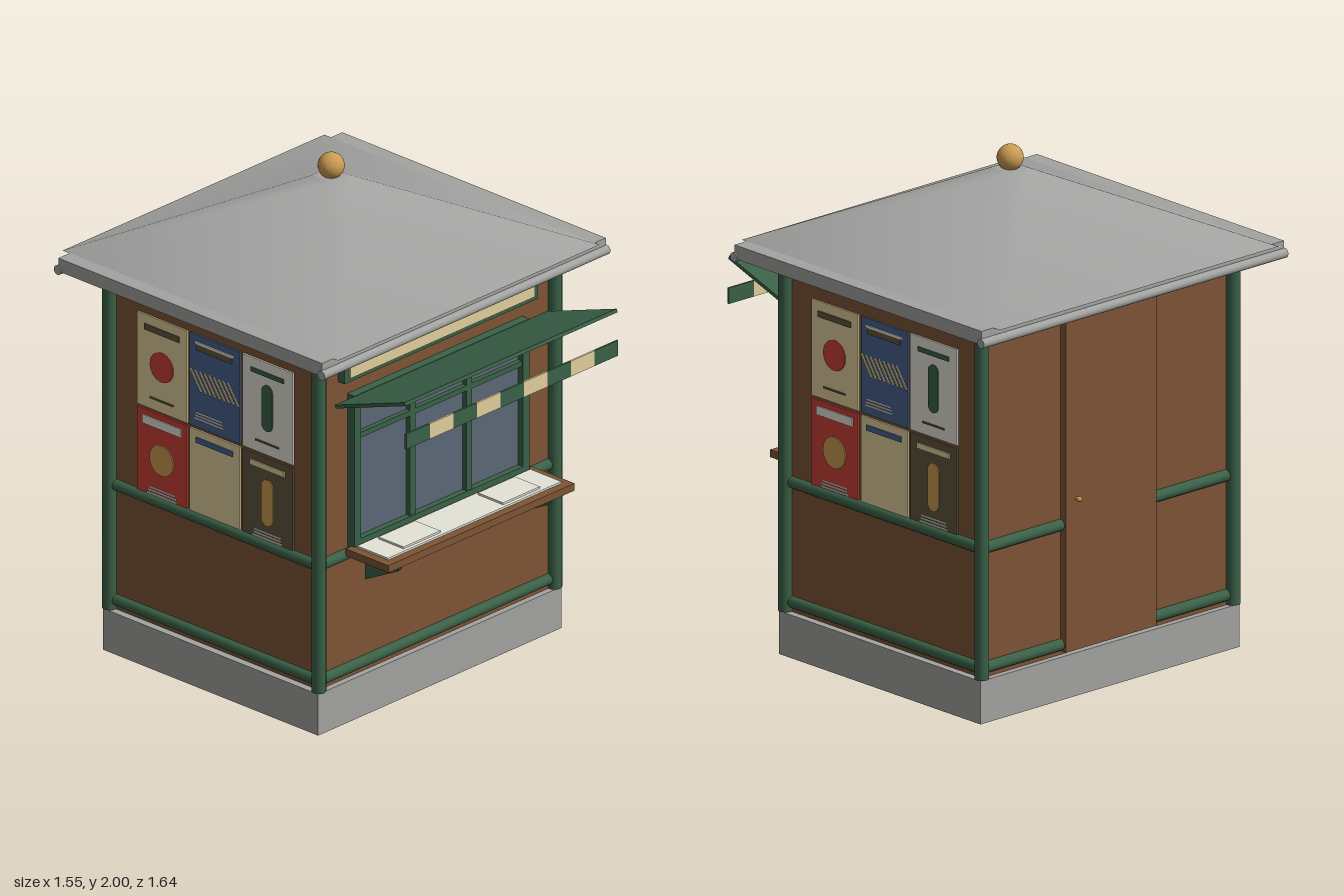
import * as THREE from 'three';

const ZC = -0.105; // centre of the hut in depth

function mat(name, color) {
  const m = new THREE.MeshStandardMaterial({ color });
  m.name = name;
  return m;
}

export function createModel() {
  const green = mat('paintedGreen', 0x3a6147);
  const brown = mat('woodBrown', 0x7e5435);
  const grey = mat('grey', 0xa3a4a2);
  const glass = mat('glass', 0x5c6977);
  const cream = mat('cream', 0xe3d09c);
  const white = mat('paperWhite', 0xe4e3d8);
  const red = mat('red', 0xcc4035);
  const blue = mat('blue', 0x46608e);
  const dark = mat('darkBrown', 0x60543e);
  const brass = mat('brass', 0xcb9c52);

  const root = new THREE.Group();
  root.name = 'kiosk';

  function add(parent, name, geo, material, x, y, z) {
    const m = new THREE.Mesh(geo, material);
    m.name = name;
    m.position.set(x, y, z);
    parent.add(m);
    return m;
  }
  const box = (parent, name, material, w, h, d, x, y, z) =>
    add(parent, name, new THREE.BoxGeometry(w, h, d), material, x, y, z);
  function rod(name, material, r, len, axis, x, y, z) {
    const g = new THREE.CylinderGeometry(r, r, len, 16);
    if (axis === 'x') g.rotateZ(Math.PI / 2);
    if (axis === 'z') g.rotateX(Math.PI / 2);
    return add(root, name, g, material, x, y, z);
  }

  // Plinth and walls
  box(root, 'plinth', grey, 1.32, 0.17, 1.11, 0, 0.085, ZC);
  box(root, 'walls', brown, 1.26, 1.39, 1.06, 0, 0.865, ZC);

  // Corner posts and horizontal rails
  for (const sx of [-1, 1]) for (const sz of [-1, 1]) {
    rod('cornerPost', green, 0.028, 1.385, 'y', sx * 0.64, 0.865, ZC + sz * 0.54);
  }
  for (const y of [0.21, 0.683, 1.53]) for (const s of [-1, 1]) {
    rod('rail', green, 0.023, 1.26, 'x', 0, y, ZC + s * 0.53);
    rod('rail', green, 0.023, 1.07, 'z', s * 0.63, y, ZC);
  }

  // Roof: eaves slab, gutters, four-sided hip and ball finial
  box(root, 'eaves', grey, 1.54, 0.055, 1.36, 0, 1.583, ZC);
  for (const s of [-1, 1]) {
    rod('gutter', grey, 0.019, 1.55, 'x', 0, 1.562, ZC + s * 0.68);
  }
  const q = Math.SQRT2;
  add(root, 'hipRoof', new THREE.CylinderGeometry(0.05 * q, 0.71 * q, 0.3, 4, 1, false, Math.PI / 4),
    grey, 0, 1.76, -0.11);
  add(root, 'finial', new THREE.SphereGeometry(0.051, 24, 16), brass, 0, 1.95, -0.11);

  // Sign board above the window
  box(root, 'signFrame', green, 1.05, 0.15, 0.035, 0, 1.48, 0.44);
  box(root, 'signPanel', cream, 1.0, 0.12, 0.008, 0, 1.483, 0.461);

  // Shop window
  box(root, 'windowGlass', glass, 0.92, 0.6, 0.008, 0, 1.025, 0.432);
  for (const s of [-1, 1]) {
    box(root, 'windowJamb', green, 0.035, 0.63, 0.036, s * 0.457, 1.025, 0.443);
    box(root, 'windowMullion', green, 0.03, 0.6, 0.028, s * 0.153, 1.025, 0.443);
  }
  for (const [y, h] of [[0.73, 0.025], [1.325, 0.03]]) {
    box(root, 'windowRail', green, 0.94, h, 0.036, 0, y, 0.443);
  }
  box(root, 'windowTransom', green, 0.9, 0.022, 0.026, 0, 1.165, 0.443);

  // Counter with papers and brackets
  box(root, 'counter', brown, 1.01, 0.03, 0.22, 0, 0.702, 0.555);
  box(root, 'counterPapers', white, 0.94, 0.008, 0.16, 0, 0.721, 0.55);
  for (const x of [-0.27, 0.27]) box(root, 'paperStack', white, 0.2, 0.008, 0.13, x, 0.729, 0.55);
  const bracketShape = new THREE.Shape([
    [-0.46, 0.565], [-0.46, 0.63], [-0.55, 0.688], [-0.645, 0.688], [-0.625, 0.65],
  ].map(([a, b]) => new THREE.Vector2(a, b)));
  for (const s of [-1, 1]) {
    const g = new THREE.ExtrudeGeometry(bracketShape, { depth: 0.02, bevelEnabled: false });
    g.translate(0, 0, -0.01).rotateY(Math.PI / 2);
    add(root, 'counterBracket', g, green, s * 0.405, 0, 0);
  }

  // Raised awning and its scalloped front strip
  const awning = box(root, 'awning', green, 1.15, 0.014, 0.381, 0, 1.392, 0.638);
  awning.rotation.x = -Math.atan2(0.125, 0.36);
  const flap = 1.15 / 9;
  for (let i = 0; i < 9; i++) {
    box(root, 'valanceFlap', i % 2 ? cream : green, flap, 0.063, 0.008, (i - 4) * flap, 1.302, 0.82);
  }

  // Back door with knob
  box(root, 'door', brown, 0.46, 1.31, 0.05, 0, 0.84, -0.642);
  rod('doorKnobStem', brass, 0.006, 0.03, 'z', 0.18, 0.785, -0.675);
  add(root, 'doorKnob', new THREE.SphereGeometry(0.011, 12, 8), brass, 0.18, 0.785, -0.685);

  // Posters on one side wall, in local x (along wall) and y
  function posterWall() {
    const g = new THREE.Group();
    g.name = 'posterWall';
    const strip = (m, w, h, x, y) => box(g, 'posterStrip', m, w, h, 0.004, x, y, 0.009);
    const disc = (m, r, x, y) => {
      const c = new THREE.CylinderGeometry(r, r, 0.004, 28);
      c.rotateX(Math.PI / 2);
      add(g, 'posterDisc', c, m, x, y, 0.009);
    };
    const pill = (m, w, h, x, y) => {
      const r = w / 2, k = h / 2 - r, s = new THREE.Shape();
      s.absarc(0, k, r, 0, Math.PI);
      s.absarc(0, -k, r, Math.PI, Math.PI * 2);
      const e = new THREE.ExtrudeGeometry(s, { depth: 0.004, bevelEnabled: false, curveSegments: 8 });
      add(g, 'posterBar', e, m, x, y, 0.007);
    };
    const lines = (m, x, y) => {
      for (let i = 0; i < 3; i++) strip(m, 0.15 - i * 0.008, 0.006, x, y + i * 0.012);
    };
    // background, title colour and title size
    const posters = [
      [cream, dark, 0.18, 0.024], [blue, dark, 0.18, 0.024], [white, green, 0.17, 0.018],
      [red, white, 0.2, 0.035], [cream, blue, 0.19, 0.022], [dark, cream, 0.18, 0.022],
    ];
    posters.forEach(([bg, title, w, h], i) => {
      const x = (i % 3 - 1) * 0.272, top = i < 3;
      box(g, 'poster', bg, 0.258, top ? 0.38 : 0.345, 0.007, x, top ? 1.247 : 0.873, 0.0035);
      strip(title, w, h, x, top ? 1.388 : 1.005);
    });
    strip(white, 0.2, 0.01, 0, 1.405);
    disc(red, 0.06, -0.272, 1.245);
    strip(dark, 0.12, 0.007, -0.272, 1.105);
    for (let i = 0; i < 9; i++) {
      const d = strip(cream, 0.008, 0.1, (i - 4) * 0.024, 1.25);
      d.rotation.z = 0.6;
    }
    lines(white, -0.03, 1.092);
    pill(green, 0.055, 0.19, 0.272, 1.25);
    strip(dark, 0.12, 0.007, 0.272, 1.105);
    disc(brass, 0.062, -0.272, 0.86);
    lines(white, -0.272, 0.71);
    pill(brass, 0.06, 0.19, 0.272, 0.86);
    lines(white, 0.272, 0.71);
    return g;
  }
  for (const s of [-1, 1]) {
    const g = posterWall();
    g.rotation.y = s * Math.PI / 2;
    g.position.set(s * 0.63, 0, ZC);
    root.add(g);
  }

  return root;
}
